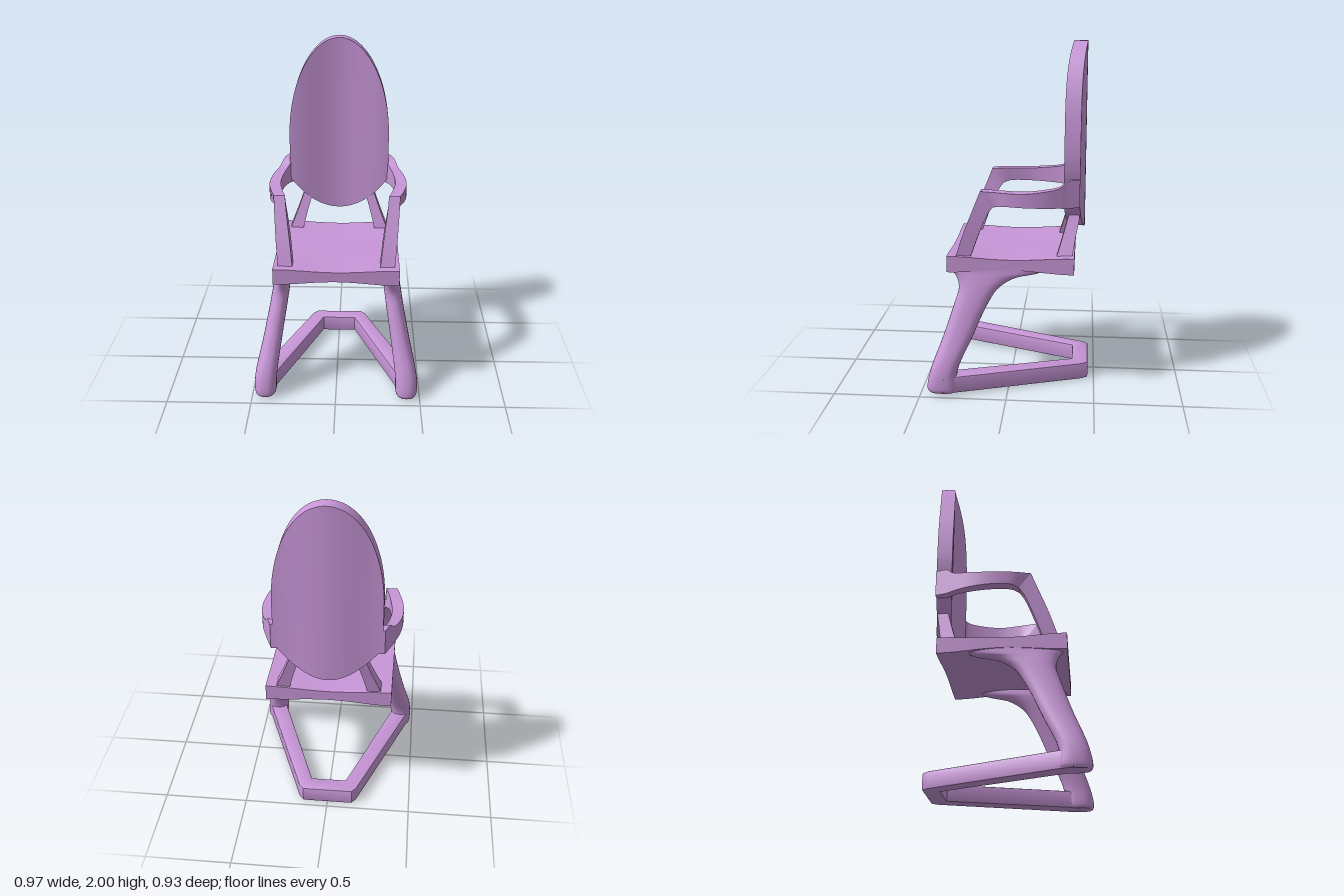
import * as THREE from 'three';
import { toCreasedNormals } from 'three/addons/utils/BufferGeometryUtils.js';

const material = new THREE.MeshStandardMaterial({ color: 0xc896d8 });

// Skin a list of equal-length rings of [x, y, z] points, closed with caps and facing outward
function loft(rings, crease = 0.6) {
  const n = rings[0].length;
  const last = (rings.length - 1) * n;
  const pts = rings.flat();
  const tris = [];
  for (let r = 0; r < rings.length - 1; r++) {
    for (let i = 0; i < n; i++) {
      const a = r * n + i, b = r * n + (i + 1) % n;
      tris.push([a, b, b + n], [a, b + n, a + n]);
    }
  }
  for (let i = 1; i < n - 1; i++) {
    tris.push([0, i + 1, i], [last, last + i, last + i + 1]);
  }
  const v = (i) => new THREE.Vector3(...pts[i]);
  const volume = tris.reduce((sum, [a, b, c]) => sum + v(a).dot(v(b).cross(v(c))), 0);
  if (volume < 0) tris.forEach((t) => t.reverse());
  const geo = new THREE.BufferGeometry();
  geo.setAttribute('position', new THREE.Float32BufferAttribute(pts.flat(), 3));
  geo.setIndex(tris.flat());
  return toCreasedNormals(geo, crease);
}

// Four-sided bar; each section is [zA, yA, zB, yB, xInner, xOuter]
function strut(sections, side, steps) {
  const a = new THREE.CatmullRomCurve3(sections.map((s) => new THREE.Vector3(s[4], s[1], s[0])));
  const b = new THREE.CatmullRomCurve3(sections.map((s) => new THREE.Vector3(s[5], s[3], s[2])));
  const rings = [];
  for (let i = 0; i <= steps; i++) {
    const p = a.getPoint(i / steps), q = b.getPoint(i / steps);
    rings.push([
      [side * p.x, p.y, p.z], [side * q.x, p.y, p.z],
      [side * q.x, q.y, q.z], [side * p.x, q.y, q.z],
    ]);
  }
  return loft(rings);
}

// Rounded leg; each section is [y, zBack, zFront, xInner, xOuter]
function leg(sections, side) {
  const back = new THREE.CatmullRomCurve3(sections.map((s) => new THREE.Vector3(s[3], s[0], s[1])));
  const front = new THREE.CatmullRomCurve3(sections.map((s) => new THREE.Vector3(s[4], s[0], s[2])));
  const round = (t) => Math.sign(t) * Math.abs(t) ** 0.78;
  const rings = [];
  for (let i = 0; i <= 36; i++) {
    const p = back.getPoint(i / 36), q = front.getPoint(i / 36);
    const ring = [];
    for (let k = 0; k < 28; k++) {
      const t = (k / 28) * Math.PI * 2;
      ring.push([
        side * ((p.x + q.x) / 2 + round(Math.cos(t)) * (q.x - p.x) / 2),
        p.y,
        (p.z + q.z) / 2 + round(Math.sin(t)) * (q.z - p.z) / 2,
      ]);
    }
    rings.push(ring);
  }
  return loft(rings, 0.9);
}

// Oval backrest, gently bowed across its width
function backrestGeometry() {
  const rings = [];
  for (let i = 0; i <= 48; i++) {
    const u = Math.sin((i / 48 - 0.5) * Math.PI);
    const x = 0.305 * u;
    const top = 1.4 + 0.6 * Math.sqrt(Math.max(0, 1 - u * u));
    const bottom = 0.92 + 0.21 * u * u;
    const bow = Math.cos(Math.PI * u);
    const front = -0.33 - 0.02 * bow, back = -0.415 - 0.015 * bow;
    rings.push([[x, bottom, front], [x, top, front], [x, top, back], [x, bottom, back]]);
  }
  return loft(rings, 0.7);
}

// Square seat, hollowed above and below
function seatGeometry() {
  const geo = new THREE.BoxGeometry(0.73, 0.095, 0.725, 24, 1, 24);
  const p = geo.attributes.position;
  const bump = (t) => 0.5 + 0.5 * Math.cos(Math.PI * t);
  for (let i = 0; i < p.count; i++) {
    const fx = bump(p.getX(i) / 0.365), fz = bump(p.getZ(i) / 0.3625);
    const f = fx + fz - fx * fz;
    p.setY(i, p.getY(i) + (p.getY(i) > 0 ? -0.015 : 0.02) * f);
  }
  geo.translate(0, 0.7625, -0.0125);
  geo.computeVertexNormals();
  return geo;
}

// Floor frame: two rails meeting a short rear bar, open at the front
function baseGeometry() {
  const half = [[0.145, -0.455], [0.17, -0.425], [0.475, 0.36], [0.44, 0.4], [0.38, 0.38], [0.362, 0.31], [0.11, -0.375]];
  const outline = [...half, ...half.map(([x, z]) => [-x, z]).reverse()];
  const shape = new THREE.Shape(outline.map(([x, z]) => new THREE.Vector2(x, z)));
  const geo = new THREE.ExtrudeGeometry(shape, {
    depth: 0.08, bevelThickness: 0.01, bevelSize: 0.008, bevelSegments: 2,
  });
  geo.rotateX(Math.PI / 2);
  geo.translate(0, 0.092, 0);
  // Slight rise toward the front
  const p = geo.attributes.position;
  for (let i = 0; i < p.count; i++) p.setY(i, p.getY(i) + 0.016 * (p.getZ(i) + 0.46));
  return toCreasedNormals(geo, 0.6);
}

export function createModel() {
  const model = new THREE.Group();
  const add = (name, geo) => {
    const mesh = new THREE.Mesh(geo, material);
    mesh.name = name;
    model.add(mesh);
  };

  add('backrest', backrestGeometry());
  add('seat', seatGeometry());
  add('floorFrame', baseGeometry());

  const corner = [0.155, 1.19, 0.085, 1.1, 0.3, 0.365];
  for (const [label, side] of [['left', 1], ['right', -1]]) {
    // Upright from seat to the front of the armrest
    add(label + 'ArmSupport', strut([
      [0.305, 0.79, 0.22, 0.79, 0.253, 0.337],
      [0.255, 0.94, 0.165, 0.94, 0.27, 0.35],
      [0.195, 1.09, 0.113, 1.06, 0.29, 0.36],
      corner,
    ], side, 12));
    // Armrest bowing outward and flaring into the backrest
    add(label + 'Armrest', strut([
      corner,
      [0.05, 1.19, 0.04, 1.112, 0.325, 0.393],
      [-0.08, 1.188, -0.08, 1.11, 0.343, 0.41],
      [-0.2, 1.198, -0.2, 1.105, 0.333, 0.395],
      [-0.29, 1.215, -0.29, 1.1, 0.31, 0.363],
      [-0.335, 1.25, -0.335, 1.095, 0.288, 0.343],
      [-0.4, 1.255, -0.4, 1.1, 0.28, 0.318],
    ], side, 30));
    // Brace from seat to the lower backrest
    add(label + 'BackBrace', strut([
      [-0.27, 0.79, -0.36, 0.79, 0.228, 0.31],
      [-0.305, 0.91, -0.38, 0.91, 0.198, 0.262],
      [-0.335, 1.02, -0.4, 1.02, 0.165, 0.222],
      [-0.345, 1.06, -0.402, 1.06, 0.155, 0.21],
    ], side, 8));
    // Raked leg sweeping back along the underside of the seat
    add(label + 'Leg', leg([
      [0.735, -0.22, 0.32, 0.275, 0.36],
      [0.71, -0.17, 0.322, 0.272, 0.363],
      [0.68, -0.04, 0.3, 0.272, 0.368],
      [0.62, 0.055, 0.285, 0.28, 0.38],
      [0.52, 0.12, 0.312, 0.295, 0.398],
      [0.33, 0.205, 0.375, 0.325, 0.437],
      [0.13, 0.29, 0.448, 0.353, 0.482],
      [0.03, 0.285, 0.463, 0.358, 0.484],
      [0.015, 0.295, 0.453, 0.366, 0.476],
    ], side));
  }
  return model;
}
